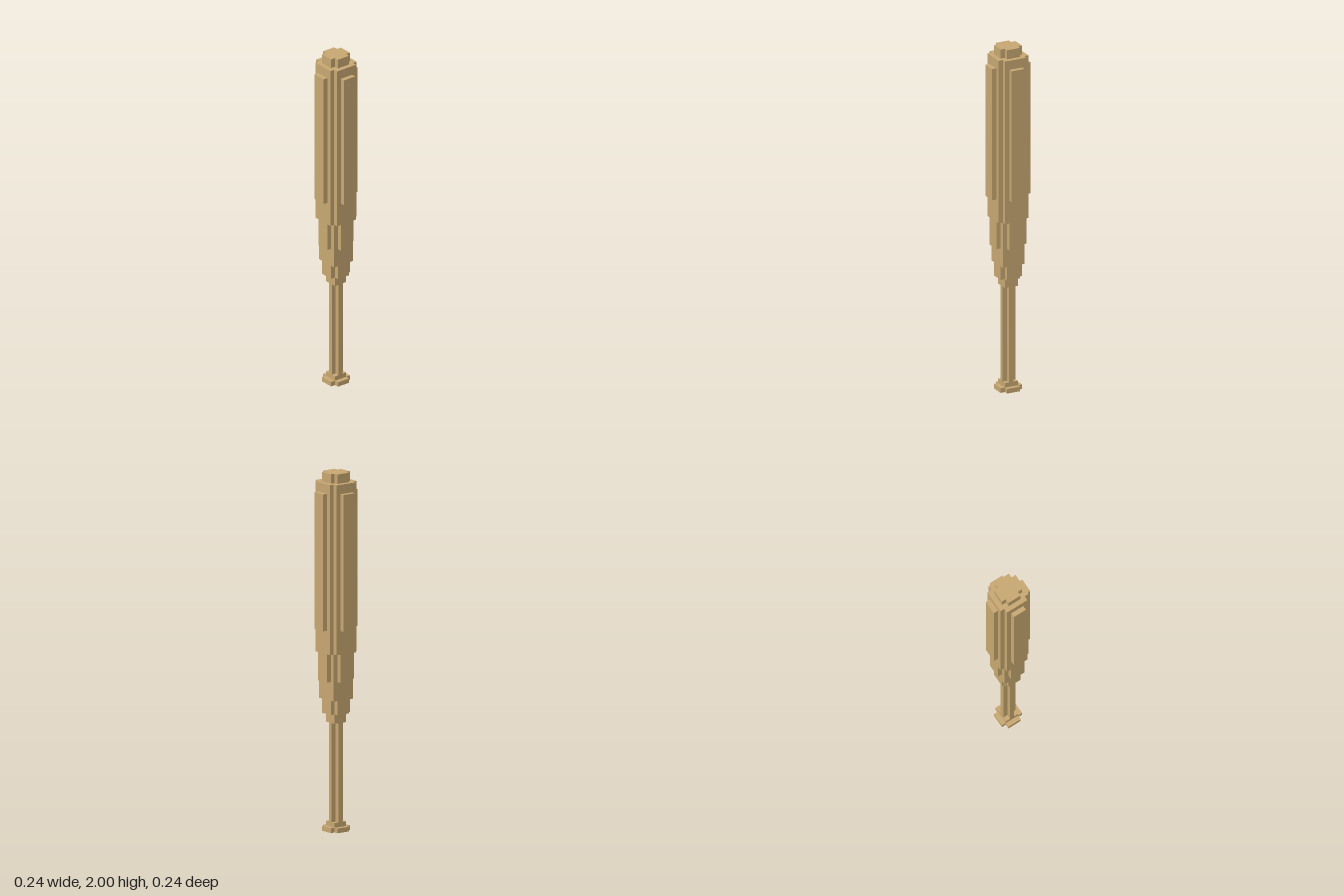
import * as THREE from 'three';

const U = 2 / 76; // one block; the bat is 76 blocks tall

// Outward corners of one quarter of each stepped cross-section, in blocks
const SQUARE3 = [[1.5, 1.5]];
const SQUARE5 = [[2.5, 2.5]];
const CROSS3 = [[1.5, 0.5], [0.5, 1.5]];
const CROSS5 = [[2.5, 1.5], [1.5, 2.5]];
const ROUND7 = [[3.5, 1.5], [2.5, 2.5], [1.5, 3.5]];
const WIDE7 = [[3.5, 2.5], [2.5, 3.5]];
const ROUND9 = [[4.5, 1.5], [3.5, 2.5], [2.5, 3.5], [1.5, 4.5]];

// Part name, bottom and top in blocks, cross-section
const PARTS = [
  ['knob', 0, 1, CROSS5],
  ['handleBase', 1, 2, SQUARE3],
  ['handleGrip', 2, 23, CROSS3],
  ['handleTop', 23, 25, SQUARE3],
  ['lowerTaper', 25, 28, CROSS5],
  ['middleTaper', 28, 32, SQUARE5],
  ['upperTaper', 32, 38, ROUND7],
  ['barrelBase', 38, 43, WIDE7],
  ['barrel', 43, 72, ROUND9],
  ['barrelShoulder', 72, 74, WIDE7],
  ['barrelTip', 74, 76, CROSS5],
];

// Turn the quarter's corners into a full stepped outline
function outline(corners) {
  const quarter = [];
  corners.forEach(([x, y], i) => {
    if (i > 0) quarter.push([x, corners[i - 1][1]]);
    quarter.push([x, y]);
  });
  const points = [];
  for (let q = 0; q < 4; q++) {
    const c = [1, 0, -1, 0][q], s = [0, 1, 0, -1][q];
    quarter.forEach(([x, y]) =>
      points.push(new THREE.Vector2((x * c - y * s) * U, (x * s + y * c) * U)));
  }
  return new THREE.Shape(points);
}

export function createModel() {
  const bat = new THREE.Group();
  bat.name = 'bat';
  const wood = new THREE.MeshStandardMaterial({ color: 0xc8a872 });
  wood.name = 'wood';

  for (const [name, bottom, top, corners] of PARTS) {
    const geometry = new THREE.ExtrudeGeometry(outline(corners), {
      depth: (top - bottom) * U, bevelEnabled: false,
    });
    geometry.rotateX(-Math.PI / 2);
    const mesh = new THREE.Mesh(geometry, wood);
    mesh.name = name;
    mesh.position.y = bottom * U;
    bat.add(mesh);
  }
  return bat;
}
